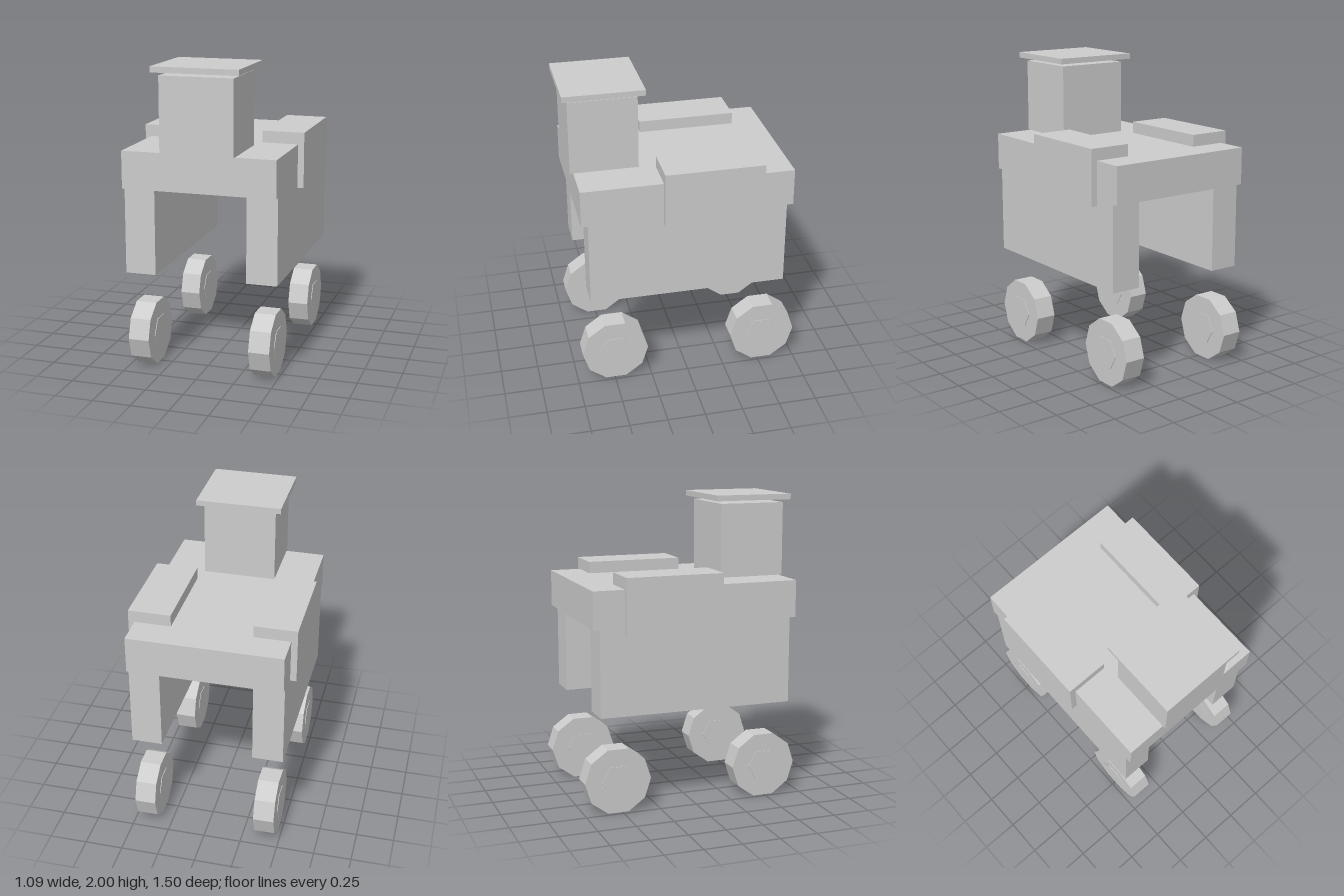
import * as THREE from 'three';

export function createModel() {
  const model = new THREE.Group();
  const grey = new THREE.MeshStandardMaterial({ color: 0xcccccc });
  grey.name = 'light grey';

  const add = (name, geometry, parent = model) => {
    const mesh = new THREE.Mesh(geometry, grey);
    mesh.name = name;
    parent.add(mesh);
    return mesh;
  };

  // Box given by its lower and upper limits on each axis
  const box = (name, [x0, x1], [y0, y1], [z0, z1]) =>
    add(name, new THREE.BoxGeometry(x1 - x0, y1 - y0, z1 - z0))
      .position.set((x0 + x1) / 2, (y0 + y1) / 2, (z0 + z1) / 2);

  // Faceted disc with its axle along x and a corner pointing to +z
  const disc = (radius, width, sides) => {
    const g = new THREE.CylinderGeometry(radius, radius, width, sides)
      .rotateZ(Math.PI / 2).toNonIndexed();
    g.computeVertexNormals();
    return g;
  };

  // Body deck, cabin and the roof floating just above it
  box('deck', [-0.506, 0.506], [1.21, 1.455], [-0.692, 0.692]);
  box('cabin', [-0.241, 0.241], [1.455, 1.942], [0.269, 0.714]);
  box('roof', [-0.284, 0.284], [1.963, 2], [0.224, 0.75]);

  for (const side of [1, -1]) {
    const label = side > 0 ? 'left' : 'right';
    const span = (a, b) => (side > 0 ? [a, b] : [-b, -a]);

    // Side wall and the pod wrapped over the deck edge
    box(label + 'Wall', span(0.304, 0.506), [0.643, 1.21], [-0.65, 0.65]);
    box(label + 'Pod', span(0.266, 0.547), [1.168, 1.533], [-0.486, 0.162]);

    // Detached wheels with slightly proud hexagonal hubs
    for (const [end, z] of [['Front', 0.491], ['Back', -0.528]]) {
      const wheel = new THREE.Group();
      wheel.name = label + end + 'Wheel';
      add('tyre', disc(0.222, 0.138, 10), wheel);
      add('hub', disc(0.11, 0.146, 6), wheel);
      wheel.position.set(side * 0.405, 0.2112, z);
      model.add(wheel);
    }
  }
  return model;
}
